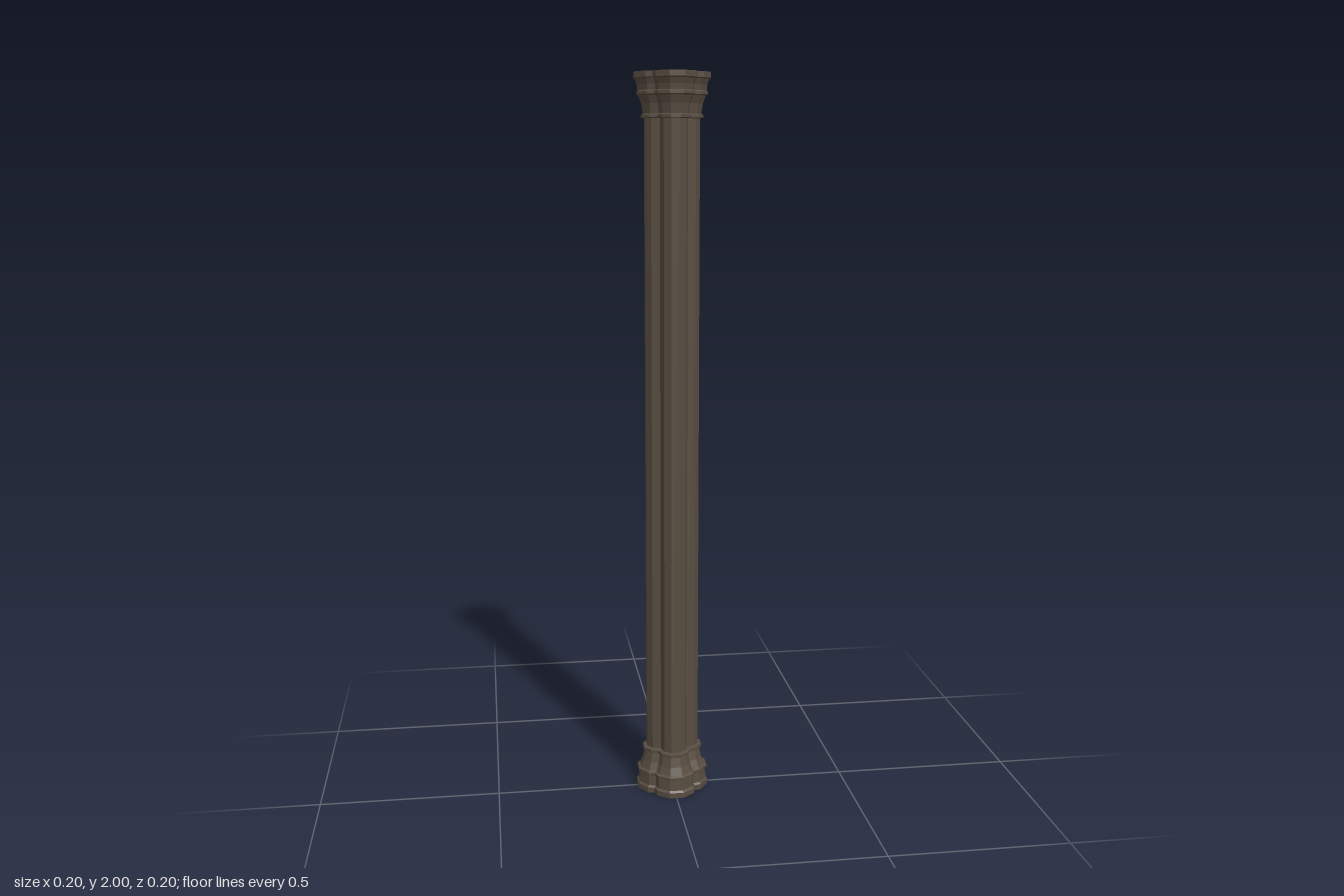
import * as THREE from 'three';

const LOBE_CENTRE = 0.038; // distance of each lobe's centre from the axis

// Four-lobed outline: four overlapping decagons, meeting in grooves on the diagonals
function outline(extent) {
  const c = LOBE_CENTRE;
  const r = (extent - c) / Math.cos(Math.PI / 10);
  const at = (deg) => {
    const a = THREE.MathUtils.degToRad(deg);
    return [c + r * Math.cos(a), r * Math.sin(a)];
  };
  const p = at(54), q = at(90);
  const t = (p[0] - p[1]) / (q[1] - p[1] - q[0] + p[0]);
  const g = p[0] + (q[0] - p[0]) * t;
  const lobe = [at(-54), at(-18), at(18), p, [g, g]];
  const points = [];
  for (let k = 0; k < 4; k++) {
    for (const [x, z] of lobe) {
      points.push([[x, z], [-z, x], [-x, -z], [z, -x]][k]);
    }
  }
  return points;
}

// Loft the outline through [height, extent] steps, closing the requested ends
function loft(name, profile, material, { bottom = false, top = false } = {}) {
  const rings = profile.map(([y, e]) => outline(e).map(([x, z]) => [x, y, z]));
  const n = rings[0].length;
  const pos = [];
  const tri = (a, b, c) => pos.push(...a, ...b, ...c);
  for (let j = 0; j < rings.length - 1; j++) {
    for (let i = 0; i < n; i++) {
      const k = (i + 1) % n;
      const a = rings[j][i], b = rings[j][k], c = rings[j + 1][k], d = rings[j + 1][i];
      tri(a, d, b);
      tri(b, d, c);
    }
  }
  const last = rings.length - 1;
  for (let i = 0; i < n; i++) {
    const k = (i + 1) % n;
    if (bottom) tri([0, profile[0][0], 0], rings[0][i], rings[0][k]);
    if (top) tri([0, profile[last][0], 0], rings[last][k], rings[last][i]);
  }
  const geometry = new THREE.BufferGeometry();
  geometry.setAttribute('position', new THREE.Float32BufferAttribute(pos, 3));
  geometry.computeVertexNormals(); // unshared corners keep every facet flat
  const mesh = new THREE.Mesh(geometry, material);
  mesh.name = name;
  return mesh;
}

export function createModel() {
  const stone = new THREE.MeshStandardMaterial({ color: 0x574c40 });
  stone.name = 'brown stone';

  const column = new THREE.Group();
  column.name = 'column';

  // Stepped foot with two raised bands
  column.add(loft('base', [
    [0, 0.1], [0.015, 0.1], [0.02, 0.095], [0.05, 0.093],
    [0.053, 0.098], [0.06, 0.098], [0.064, 0.091], [0.085, 0.083], [0.112, 0.077],
    [0.115, 0.083], [0.123, 0.083], [0.126, 0.073],
  ], stone, { bottom: true }));

  // Plain clustered shaft
  column.add(loft('shaft', [[0.126, 0.073], [1.882, 0.073]], stone));

  // Flaring head with neck ring, middle band and top slab
  column.add(loft('capital', [
    [1.882, 0.073], [1.884, 0.081], [1.891, 0.081], [1.894, 0.076],
    [1.92, 0.08], [1.94, 0.087], [1.943, 0.093], [1.95, 0.093],
    [1.953, 0.089], [1.968, 0.091], [1.982, 0.096], [1.985, 0.1], [2, 0.1],
  ], stone, { top: true }));

  return column;
}
